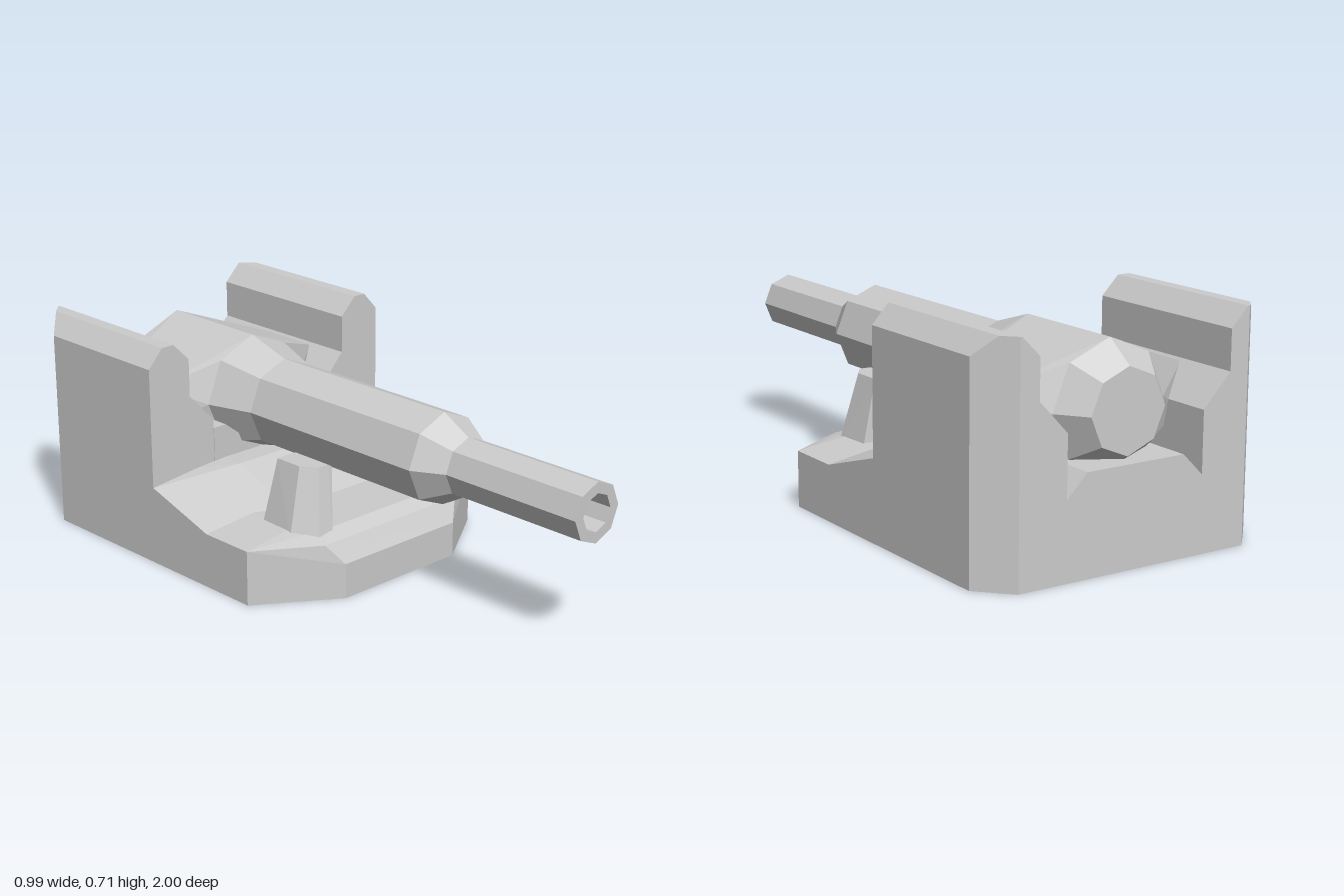
import * as THREE from 'three';
import { ConvexGeometry } from 'three/addons/geometries/ConvexGeometry.js';

const grey = new THREE.MeshStandardMaterial({ color: 0xcccccc, flatShading: true });

// Convex solid from points; mirrored points are added on the -x side
function hull(points, mirror = true) {
  const v = points.map(p => new THREE.Vector3(...p));
  if (mirror) points.forEach(([x, y, z]) => x && v.push(new THREE.Vector3(-x, y, z)));
  return new ConvexGeometry(v);
}

// Extrude an xy profile from z0 to z1
function slab(profile, z0, z1) {
  const shape = new THREE.Shape(profile.map(p => new THREE.Vector2(...p)));
  return new THREE.ExtrudeGeometry(shape, { depth: z1 - z0, bevelEnabled: false }).translate(0, 0, z0);
}

// Complete a right-hand half profile with its reflection
const both = half => [...half, ...half.map(([x, y]) => [-x, y]).reverse()];

export function createModel() {
  const model = new THREE.Group();
  const add = (name, geometry) => {
    const mesh = new THREE.Mesh(geometry, grey);
    mesh.name = name;
    model.add(mesh);
  };

  // Front deck with bevelled nose and slightly raised middle
  add('deck', hull([
    [0.495, 0, -0.4], [0.495, 0, 0.05], [0.24, 0, 0.22],
    [0.24, 0.115, 0.22], [0.29, 0.18, 0.18],
    [0.495, 0.18, 0.05], [0.495, 0.18, -0.4],
    [0.22, 0.205, 0.13], [0.31, 0.205, 0.05], [0.31, 0.205, -0.35],
  ]));

  // Ramp rising from the deck to the housing
  add('ramp', hull([
    [0.495, 0.17, -0.13], [0.495, 0.18, -0.14], [0.495, 0.26, -0.4], [0.495, 0.1, -0.4],
    [0.2, 0.2, -0.06], [0.2, 0.1, -0.06], [0.2, 0.288, -0.32], [0.31, 0.28, -0.4], [0.2, 0.288, -0.4],
  ]));

  // Housing: trench between two side walls
  add('housing', slab(both([
    [0.4, 0], [0.4, 0.715], [0.395, 0.715], [0.335, 0.655], [0.335, 0.53],
    [0.24, 0.43], [0.24, 0.24], [0.17, 0.31],
  ]), -1, -0.4));

  // Outer walls with chamfered rear corners
  for (const s of [1, -1]) {
    const wall = slab([[0.4, 0], [0.495, 0], [0.495, 0.655], [0.44, 0.715], [0.4, 0.715]]
      .map(([x, y]) => [s * x, y]), -1, -0.4);
    const p = wall.attributes.position;
    for (let i = 0; i < p.count; i++) {
      p.setZ(i, Math.max(p.getZ(i), -1 + (Math.abs(p.getX(i)) - 0.4) * 1.05));
    }
    wall.computeVertexNormals();
    add(s > 0 ? 'leftWall' : 'rightWall', wall);

    // Tapered lug beside the barrel
    add(s > 0 ? 'leftLug' : 'rightLug', hull([
      [0.22, 0.18, -0.065], [0.33, 0.18, -0.065], [0.335, 0.18, 0.07], [0.28, 0.18, 0.145], [0.225, 0.18, 0.145],
      [0.185, 0.39, -0.05], [0.2, 0.4, -0.05], [0.275, 0.4, -0.05], [0.275, 0.4, 0.05],
      [0.24, 0.4, 0.1], [0.2, 0.4, 0.1], [0.185, 0.39, 0.1],
    ].map(([x, y, z]) => [s * x, y, z]), false));
  }

  // V-shaped cradle at the front of the trench
  add('cradle', slab(both([[0.24, 0.2], [0.24, 0.4], [0.19, 0.4], [0.03, 0.275]]), -0.5, -0.398));

  // Eight-sided barrel with hollow muzzle and rounded breech
  const profile = [
    [0, -0.96], [0.13, -0.96], [0.197, -0.87], [0.197, -0.475], [0.15, -0.32],
    [0.15, 0.4], [0.095, 0.5], [0.095, 1], [0.06, 1], [0.06, 0.85], [0, 0.85],
  ].map(p => new THREE.Vector2(...p));
  add('barrel', new THREE.LatheGeometry(profile, 8).rotateX(Math.PI / 2).translate(0, 0.45, 0));

  // Broad pivot block around the breech
  const pivot = [];
  for (const [zWide, zMid] of [[-0.56, -0.475], [-0.78, -0.87]]) {
    for (const s of [1, -1]) {
      pivot.push([0, 0.45 + s * 0.197, zMid], [0.14, 0.45 + s * 0.139, zMid],
        [0.28, 0.45 + s * 0.08, zWide], [0.335, 0.45 + s * 0.07, zWide]);
    }
    pivot.push([0.197, 0.45, zMid]);
  }
  add('pivotBlock', hull(pivot));

  return model;
}
